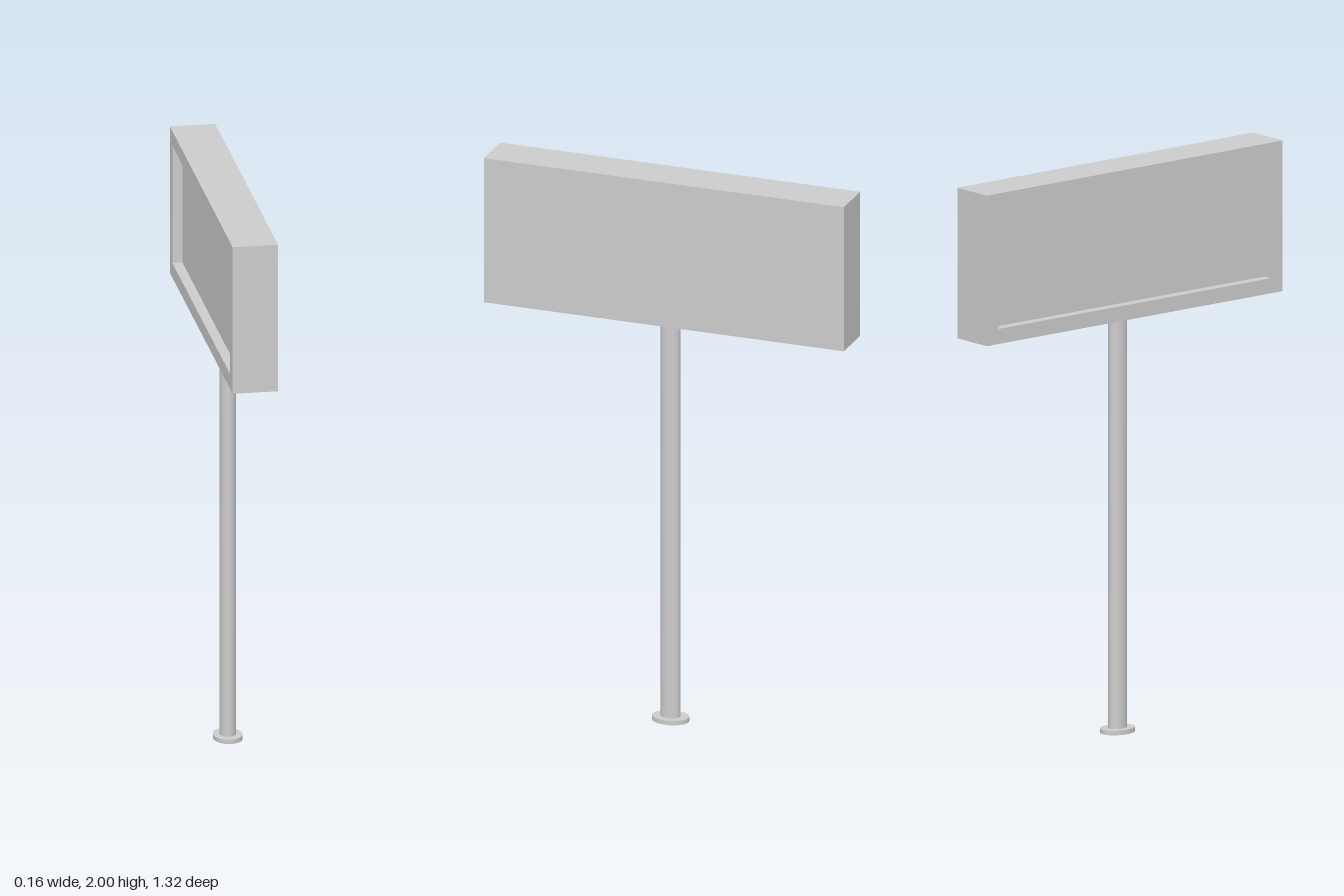
import * as THREE from 'three';

const material = new THREE.MeshStandardMaterial({ color: 0xcccccc });

// Closed solid through rectangular cross-sections [x, halfHeight, halfLength]
function rectLoft(sections) {
  const loops = sections.map(([x, h, l]) => [[x, -h, l], [x, -h, -l], [x, h, -l], [x, h, l]]);
  const positions = [];
  const quad = (a, b, c, d) => positions.push(...a, ...b, ...c, ...a, ...c, ...d);

  quad(...loops[0]);
  for (let s = 0; s < loops.length - 1; s++) {
    const a = loops[s], b = loops[s + 1];
    for (let i = 0; i < 4; i++) {
      const j = (i + 1) % 4;
      quad(a[i], b[i], b[j], a[j]);
    }
  }
  quad(...loops[loops.length - 1].slice().reverse());

  const geometry = new THREE.BufferGeometry();
  geometry.setAttribute('position', new THREE.Float32BufferAttribute(positions, 3));
  geometry.computeVertexNormals();
  return geometry;
}

// Upright oval cylinder standing between two heights
function ovalColumn(name, rx, rz, y0, y1) {
  const geometry = new THREE.CylinderGeometry(1, 1, y1 - y0, 24);
  geometry.scale(rx, 1, rz);
  const mesh = new THREE.Mesh(geometry, material);
  mesh.name = name;
  mesh.position.set(0.013, (y0 + y1) / 2, 0);
  return mesh;
}

export function createModel() {
  const group = new THREE.Group();
  group.name = 'poleSign';

  // Sign box: plain on the +x face, framed recess on the -x face
  const halfX = 0.079, halfY = 0.265, halfZ = 0.66, rim = 0.053, depth = 0.035;
  const signBox = new THREE.Mesh(rectLoft([
    [halfX, halfY, halfZ],
    [-halfX, halfY, halfZ],
    [-halfX, halfY - rim, halfZ - rim],
    [-halfX + depth, halfY - rim, halfZ - rim],
  ]), material);
  signBox.name = 'signBox';
  signBox.position.y = 2 - halfY;
  group.add(signBox);

  // Pole and its foot plate
  group.add(ovalColumn('pole', 0.028, 0.035, 0.016, 1.47));
  group.add(ovalColumn('footPlate', 0.051, 0.066, 0, 0.016));

  return group;
}
